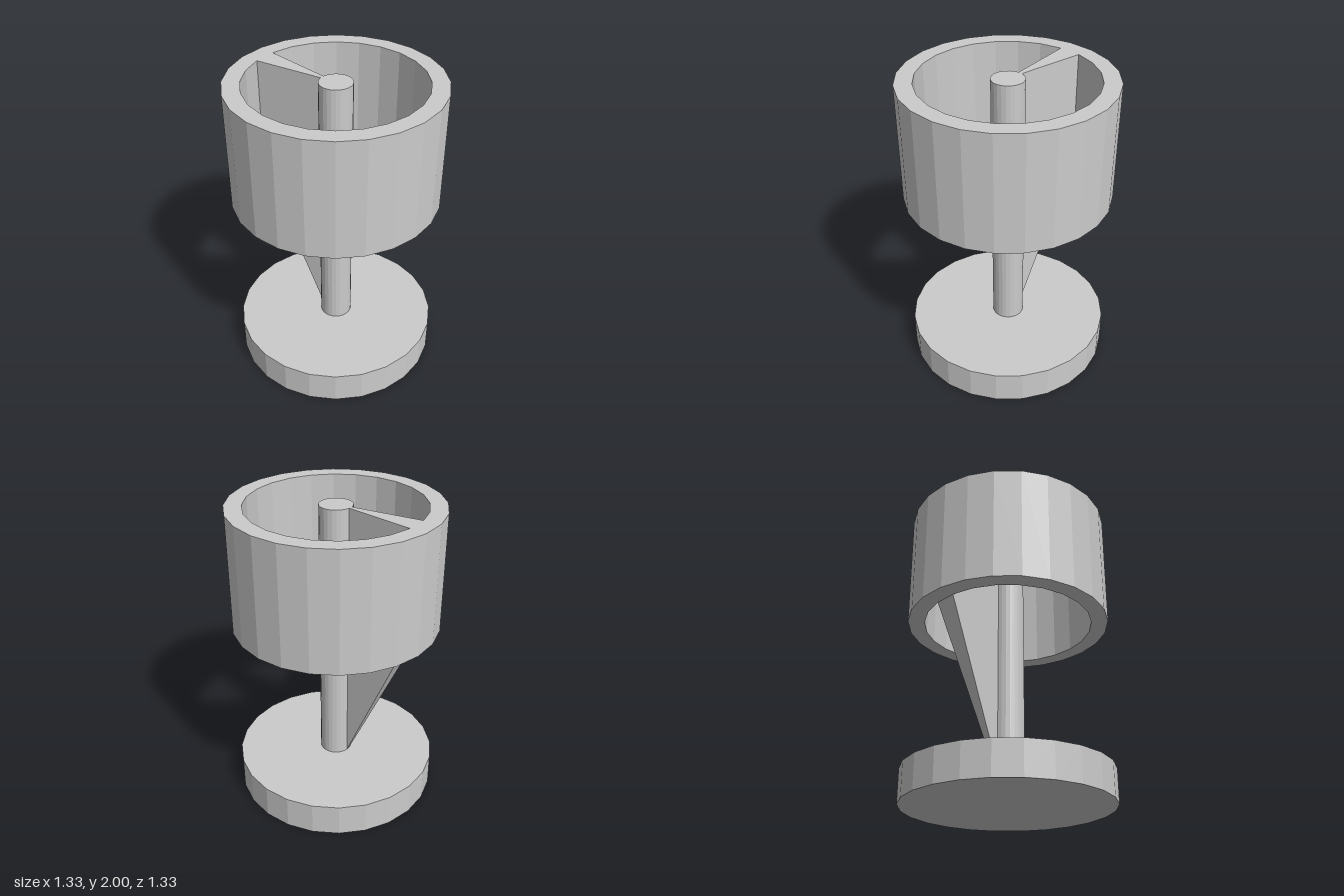
import * as THREE from 'three';

const SIDES = 24;
const material = new THREE.MeshStandardMaterial({ color: 0xcccccc, flatShading: true });

const BASE_TOP = 0.22, RING_BOTTOM = 1.225, TOP = 2;
const OUTER = 0.667, INNER = 0.557, POLE = 0.105;

function addPart(group, name, geometry, y = 0) {
  const mesh = new THREE.Mesh(geometry, material);
  mesh.name = name;
  mesh.position.y = y;
  group.add(mesh);
}

// Wedge between two radial planes at the back, one ring facet wide
function finGeometry() {
  const profile = [[POLE, BASE_TOP], [INNER, RING_BOTTOM], [INNER, TOP], [POLE, TOP]];
  const positions = [];
  for (const angle of [0, Math.PI * 2 / SIDES]) {
    for (const [r, y] of profile) positions.push(-r * Math.sin(angle), y, -r * Math.cos(angle));
  }
  const index = [];
  const quad = (a, b, c, d) => index.push(a, b, c, a, c, d);
  quad(0, 1, 2, 3);
  quad(7, 6, 5, 4);
  for (let i = 0; i < 4; i++) {
    const j = (i + 1) % 4;
    quad(j, i, i + 4, j + 4);
  }
  const geometry = new THREE.BufferGeometry();
  geometry.setAttribute('position', new THREE.Float32BufferAttribute(positions, 3));
  geometry.setIndex(index);
  const flat = geometry.toNonIndexed();
  flat.computeVertexNormals();
  return flat;
}

export function createModel() {
  const group = new THREE.Group();
  group.name = 'finnedStand';

  // Round foot
  addPart(group, 'base', new THREE.CylinderGeometry(OUTER, OUTER, BASE_TOP, SIDES), BASE_TOP / 2);

  // Central pole, flush with the ring's top
  const poleHeight = TOP - BASE_TOP;
  addPart(group, 'pole', new THREE.CylinderGeometry(POLE, POLE, poleHeight, SIDES), BASE_TOP + poleHeight / 2);

  // Thick-walled open ring
  const section = [[INNER, RING_BOTTOM], [OUTER, RING_BOTTOM], [OUTER, TOP], [INNER, TOP], [INNER, RING_BOTTOM]];
  addPart(group, 'ring', new THREE.LatheGeometry(section.map(([r, y]) => new THREE.Vector2(r, y)), SIDES));

  // Supporting fin joining pole and ring
  addPart(group, 'fin', finGeometry());

  return group;
}
